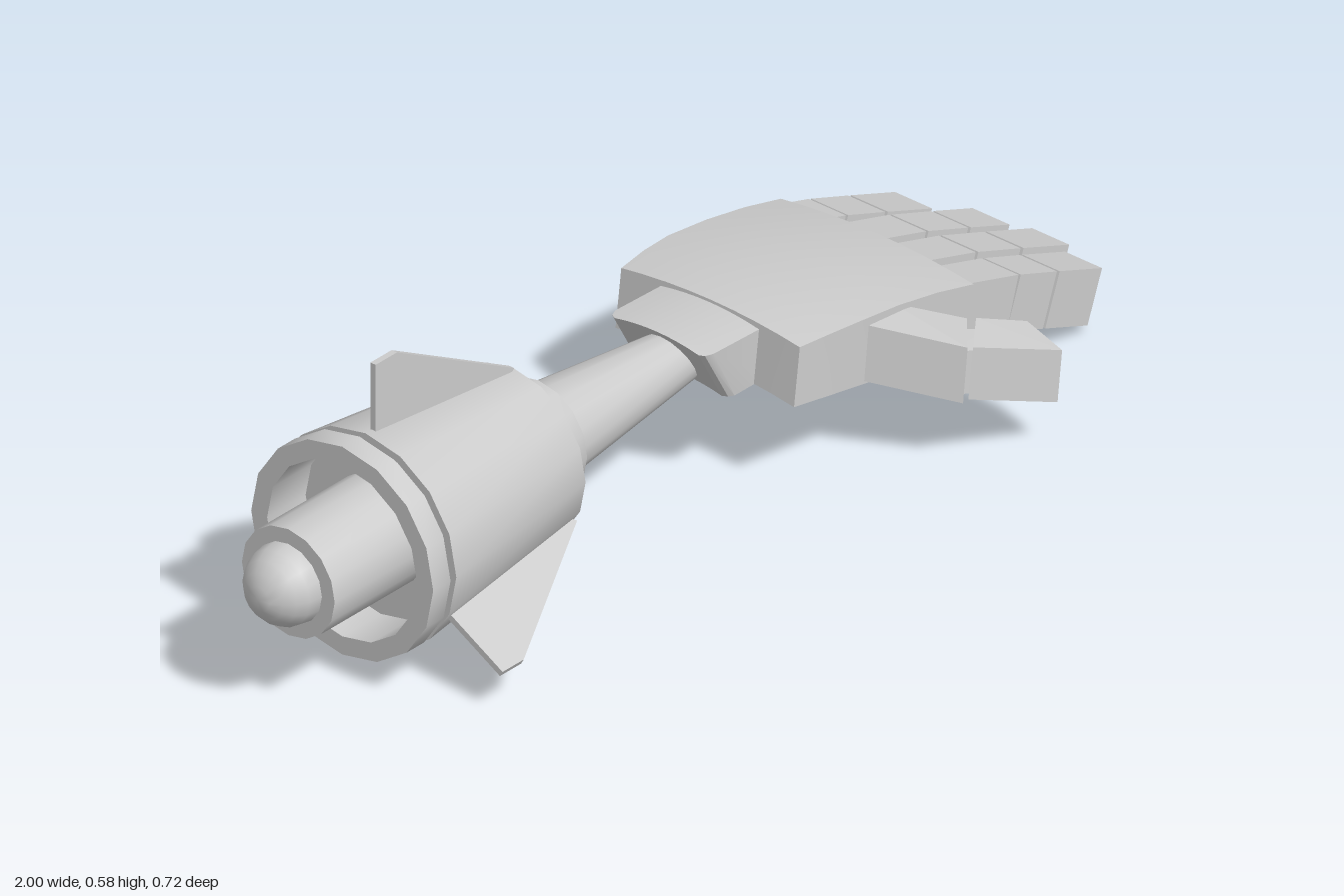
import * as THREE from 'three';
import { toCreasedNormals } from 'three/addons/utils/BufferGeometryUtils.js';
import { ConvexGeometry } from 'three/addons/geometries/ConvexGeometry.js';

const AXIS_Y = 0.25, AXIS_Z = -0.067;

export function createModel() {
  const model = new THREE.Group();
  const material = new THREE.MeshStandardMaterial({ color: 0xcccccc });
  const add = (name, geometry, parent = model) => {
    const mesh = new THREE.Mesh(geometry, material);
    mesh.name = name;
    parent.add(mesh);
    return mesh;
  };

  // Turned part around the arm axis; profile is [radius, x]
  const turned = (name, profile) => {
    const g = new THREE.LatheGeometry(profile.map(([r, x]) => new THREE.Vector2(r, x)), 16);
    g.rotateZ(-Math.PI / 2);
    g.translate(0, AXIS_Y, AXIS_Z);
    return add(name, toCreasedNormals(g, 0.6));
  };

  // Block lofted along x; section is [xTop, yTop, xBottom, yBottom, zMin, zMax], arched across z
  const lofted = (name, sections, crown) => {
    const n = 8, ring = 2 * n + 2, pos = [], idx = [];
    for (const [xt, yt, xb, yb, z0, z1] of sections) {
      for (let j = 0; j < ring; j++) {
        const top = j <= n;
        const t = (top ? j : ring - 1 - j) / n;
        const lift = crown * (1 - (2 * t - 1) ** 2);
        pos.push(top ? xt : xb, (top ? yt : yb) + lift, z0 + (z1 - z0) * t);
      }
    }
    const quad = (a, b, c, d) => idx.push(a, b, c, a, c, d);
    const last = (sections.length - 1) * ring;
    for (let s = 0; s < last; s += ring) {
      for (let j = 0; j < ring; j++) {
        const k = (j + 1) % ring;
        quad(s + j, s + k, s + ring + k, s + ring + j);
      }
    }
    for (let j = 0; j < n; j++) {
      const b = ring - 1 - j;
      quad(b, b - 1, j + 1, j);
      quad(last + j, last + j + 1, last + b - 1, last + b);
    }
    const g = new THREE.BufferGeometry();
    g.setAttribute('position', new THREE.Float32BufferAttribute(pos, 3));
    g.setIndex(idx);
    return add(name, toCreasedNormals(g, 0.5));
  };

  // Rear shaft with domed end
  const dome = [];
  for (let i = 0; i <= 5; i++) {
    const a = (i / 5) * Math.PI / 2;
    dome.push([0.076 * Math.sin(a), -0.924 - 0.076 * Math.cos(a)]);
  }
  turned('rearShaft', [...dome, [0.076, -0.92], [0.105, -0.92], [0.105, -0.66]]);

  // Tapered shell, recessed at both ends, with a grooved rear rim
  turned('shell', [
    [0, -0.68], [0.17, -0.68], [0.17, -0.78], [0.206, -0.78], [0.206, -0.735], [0.19, -0.735],
    [0.19, -0.72], [0.206, -0.72], [0.163, -0.335], [0.147, -0.335], [0.15, -0.38], [0, -0.38],
  ]);

  // Collar and forearm cone
  turned('forearm', [
    [0.122, -0.4], [0.122, -0.335], [0.11, -0.27], [0.09, -0.27], [0.05, 0.1], [0.05, 0.16],
  ]);

  // Three stabiliser fins
  const finShape = new THREE.Shape([
    [-0.70, 0.18], [-0.365, 0.14], [-0.34, 0.168], [-0.645, 0.335], [-0.70, 0.335],
  ].map(([x, y]) => new THREE.Vector2(x, y)));
  for (let i = 0; i < 3; i++) {
    const g = new THREE.ExtrudeGeometry(finShape, { depth: 0.012, bevelEnabled: false });
    g.translate(0, 0, -0.006);
    const fin = add('fin' + (i + 1), g);
    fin.position.set(0, AXIS_Y, AXIS_Z);
    fin.rotation.x = (i * 2 * Math.PI) / 3;
  }

  // Wrist cuff with a slanted rear face
  lofted('wristCuff', [
    [0.04, 0.307, 0.1, 0.2, -0.165, 0.025],
    [0.045, 0.307, 0.105, 0.2, -0.175, 0.035],
    [0.06, 0.307, 0.115, 0.2, -0.181, 0.041],
    [0.2, 0.302, 0.2, 0.2, -0.181, 0.041],
  ], 0.01);

  // Curved palm
  lofted('palm', [
    [0.18, 0.302, 0.165, 0.19, -0.272, 0.132],
    [0.25, 0.302, 0.24, 0.182, -0.282, 0.142],
    [0.32, 0.298, 0.31, 0.173, -0.288, 0.148],
    [0.42, 0.285, 0.405, 0.155, -0.288, 0.148],
    [0.52, 0.265, 0.505, 0.13, -0.288, 0.148],
    [0.613, 0.24, 0.59, 0.103, -0.288, 0.148],
  ], 0.016);

  // Fingers: three angled segments joined by narrower knuckles; [z centre, joint x, joint x, tip x]
  const fingers = [
    ['indexFinger', 0.097, 0.74, 0.84, 0.957],
    ['middleFinger', -0.013, 0.755, 0.872, 0.998],
    ['ringFinger', -0.121, 0.75, 0.86, 0.967],
    ['littleFinger', -0.231, 0.668, 0.77, 0.892],
  ];
  // Straight bar from a to b along the top edge, hanging perpendicular below it
  const bar = (name, a, b, height, width, z, parent) => {
    const dir = b.clone().sub(a).normalize();
    const down = new THREE.Vector2(dir.y, -dir.x).multiplyScalar(height);
    const shape = new THREE.Shape([a, b, b.clone().add(down), a.clone().add(down)]);
    const g = new THREE.ExtrudeGeometry(shape, { depth: width, bevelEnabled: false });
    g.translate(0, 0, z - width / 2);
    add(name, g, parent);
  };
  for (const [name, z, j1, j2, tip] of fingers) {
    const finger = new THREE.Group();
    finger.name = name;
    model.add(finger);
    const drop = [0.31, 0.38, 0.39];
    const xs = [0.6, j1, j2, tip];
    const pts = [new THREE.Vector2(0.6, 0.242)];
    for (let i = 0; i < 3; i++) {
      pts.push(new THREE.Vector2(xs[i + 1], pts[i].y - drop[i] * (xs[i + 1] - xs[i])));
    }
    for (let i = 0; i < 3; i++) {
      const start = pts[i].clone().lerp(pts[i + 1], i ? 0.06 : 0);
      bar('segment' + (i + 1), start, pts[i + 1], 0.104, 0.084, z, finger);
      if (i) {
        const a = pts[i].clone().add(new THREE.Vector2(-0.02, -0.012));
        const b = pts[i].clone().add(new THREE.Vector2(0.025, -0.026));
        bar('knuckle' + i, a, b, 0.075, 0.07, z, finger);
      }
    }
  }

  // Thumb: each segment is its top outline plus the same outline dropped below
  const thumb = new THREE.Group();
  thumb.name = 'thumb';
  model.add(thumb);
  const slab = (name, top, drop) => {
    const pts = [];
    for (const [x, y, z] of top) {
      pts.push(new THREE.Vector3(x, y, z), new THREE.Vector3(x - 0.012, y - drop, z));
    }
    add(name, new ConvexGeometry(pts), thumb);
  };
  slab('thumbBase', [[0.325, 0.285, 0.125], [0.43, 0.275, 0.125], [0.513, 0.245, 0.22], [0.437, 0.247, 0.288]], 0.105);
  slab('thumbKnuckle', [[0.42, 0.235, 0.26], [0.48, 0.235, 0.215], [0.54, 0.225, 0.25], [0.48, 0.225, 0.29]], 0.08);
  slab('thumbTip', [[0.444, 0.247, 0.294], [0.523, 0.246, 0.232], [0.612, 0.215, 0.27], [0.602, 0.196, 0.358]], 0.098);

  return model;
}
